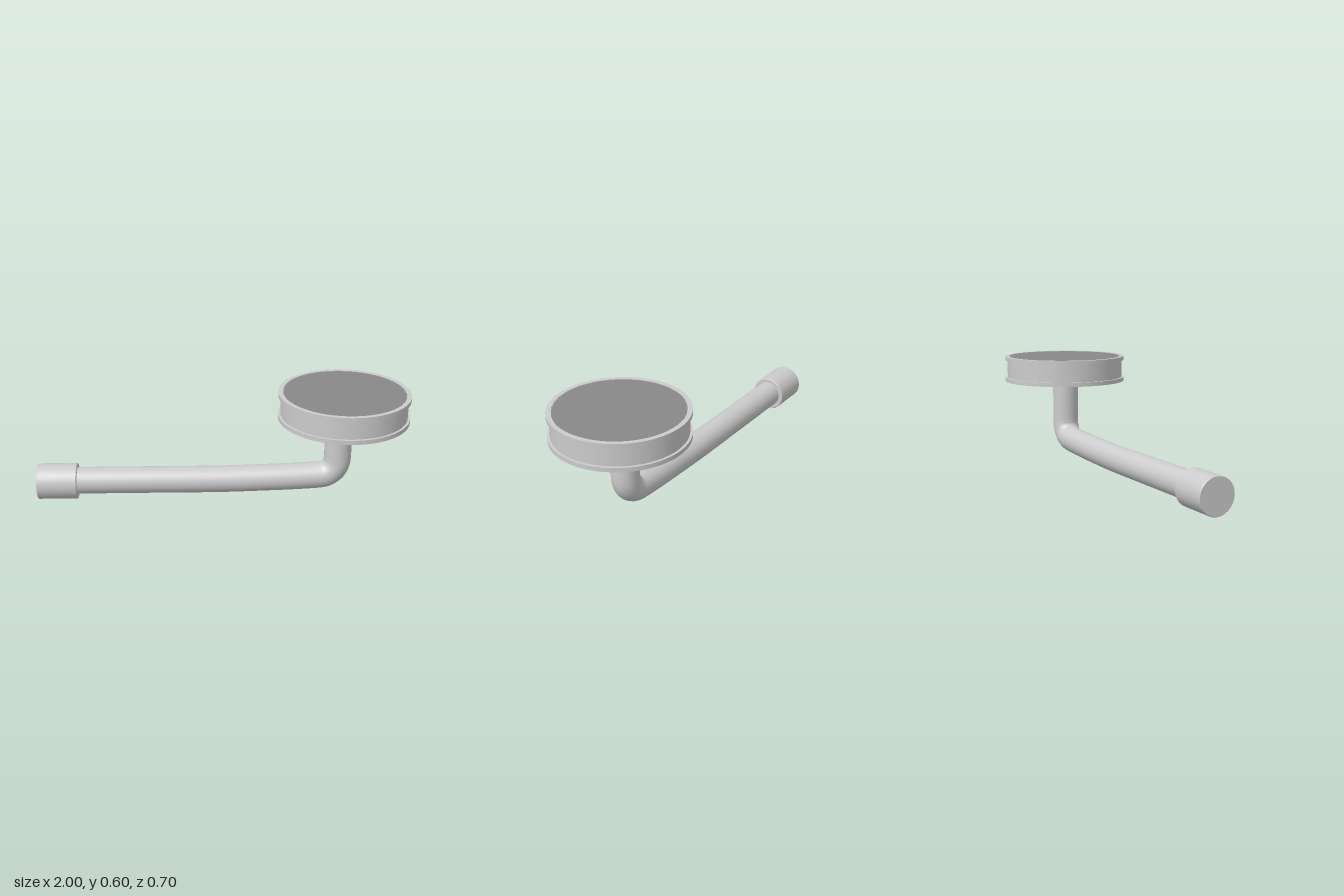
import * as THREE from 'three';

const grey = new THREE.MeshStandardMaterial({ color: 0xcccccc });
const dark = new THREE.MeshStandardMaterial({ color: 0x888888 });

function add(group, name, geometry, material = grey) {
  const mesh = new THREE.Mesh(geometry, material);
  mesh.name = name;
  group.add(mesh);
  return mesh;
}

export function createModel() {
  const model = new THREE.Group();
  const SEG = 64;
  const rodZ = -0.005;

  // Round drum head: a body between two thin flanges, with inset end plates
  const drum = new THREE.Group();
  drum.name = 'drumHead';
  drum.position.set(0.65, 0.532, 0);
  add(drum, 'drumBody', new THREE.CylinderGeometry(0.337, 0.337, 0.14, SEG));
  for (const side of [1, -1]) {
    const ring = new THREE.Shape().absarc(0, 0, 0.35, 0, Math.PI * 2);
    ring.holes.push(new THREE.Path().absarc(0, 0, 0.326, 0, Math.PI * 2, true));
    const flange = add(drum, side > 0 ? 'topFlange' : 'bottomFlange',
      new THREE.ExtrudeGeometry(ring, { depth: 0.023, bevelEnabled: false, curveSegments: SEG }));
    flange.rotation.x = -Math.PI / 2;
    flange.position.y = side > 0 ? 0.05 : -0.073;
    const plate = add(drum, side > 0 ? 'topPlate' : 'bottomPlate',
      new THREE.CylinderGeometry(0.324, 0.324, 0.01, SEG), dark);
    plate.position.y = side * 0.066;
  }
  model.add(drum);

  // Bent rod: long straight run, slight rise, then a tight elbow up to the drum
  const points = [[-0.8, 0.1], [-0.4, 0.1], [0, 0.1], [0.2, 0.105], [0.4, 0.112]];
  for (let i = 0; i <= 6; i++) {
    const a = -Math.PI / 2 + (i / 6) * (Math.PI / 2);
    points.push([0.53 + 0.1 * Math.cos(a), 0.22 + 0.1 * Math.sin(a)]);
  }
  points.push([0.63, 0.32], [0.63, 0.47]);
  const path = new THREE.CatmullRomCurve3(points.map(([x, y]) => new THREE.Vector3(x, y, rodZ)));
  add(model, 'bentRod', new THREE.TubeGeometry(path, 120, 0.073, 32, false));

  // Grip at the far end of the rod
  const profile = [[0, 0], [0.094, 0], [0.097, 0.004], [0.097, 0.211], [0.094, 0.215], [0, 0.215]];
  const pts = [];
  // Doubled corners keep the flat ends and rounded edge crisp
  profile.forEach(([r, y], i) => {
    const v = new THREE.Vector2(r, y);
    pts.push(v);
    if (i > 0 && i < profile.length - 1) pts.push(v.clone());
  });
  const grip = add(model, 'endGrip', new THREE.LatheGeometry(pts, 48));
  grip.rotation.z = -Math.PI / 2;
  grip.position.set(-1, 0.098, rodZ);

  return model;
}
